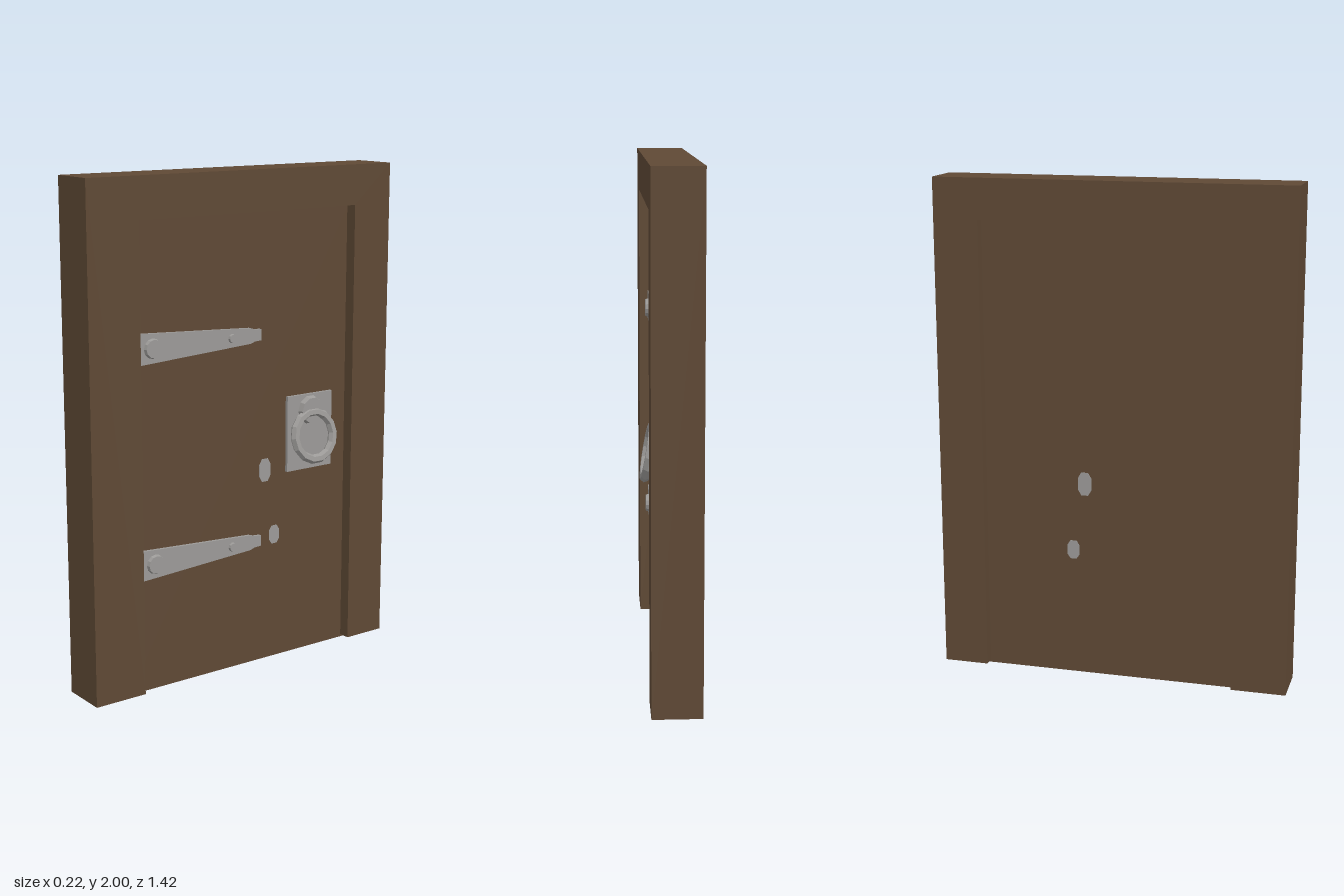
import * as THREE from 'three';

export function createModel() {
  const door = new THREE.Group();
  door.name = 'door';
  const wood = new THREE.MeshStandardMaterial({ name: 'brown wood', color: 0x5f4935, flatShading: true });
  const metal = new THREE.MeshStandardMaterial({ name: 'grey metal', color: 0x9c9a98, flatShading: true });
  const FACE = 0.032, BACK = -0.065;

  const add = (name, geometry, material, x = 0, y = 0, z = 0, parent = door) => {
    const mesh = new THREE.Mesh(geometry, material);
    mesh.name = name;
    mesh.position.set(x, y, z);
    parent.add(mesh);
    return mesh;
  };

  // Outline in (z, y), extruded along x from 0 to depth
  const extrudeX = (points, depth) => {
    const shape = new THREE.Shape(points.map(([z, y]) => new THREE.Vector2(-z, y)));
    return new THREE.ExtrudeGeometry(shape, { depth, bevelEnabled: false }).rotateY(Math.PI / 2);
  };

  // Disc facing +x with a slightly smaller front rim
  const stud = (r, h, sides) =>
    new THREE.CylinderGeometry(r * 0.88, r, h, sides).rotateZ(-Math.PI / 2);

  // Surround, open at the bottom
  add('frame', extrudeX([
    [0.71, 0.01], [0.71, 2], [-0.71, 2], [-0.71, 0.01],
    [-0.53, 0.01], [-0.53, 1.84], [0.49, 1.84], [0.49, 0.01],
  ], 0.19), wood, -0.11);

  // Door leaf, tucked into the frame
  add('leaf', new THREE.BoxGeometry(FACE - BACK, 1.86, 1.08), wood, (FACE + BACK) / 2, 0.93, -0.01);

  // Tapered strap hinges with bolts
  for (const y of [0.515, 1.357]) {
    const hinge = new THREE.Group();
    hinge.name = 'hinge';
    hinge.position.set(FACE - 0.002, y, 0);
    door.add(hinge);
    add('strap', extrudeX([
      [0.49, -0.061], [0.49, 0.061], [-0.04, 0.031], [-0.06, 0.024], [-0.092, 0.022],
      [-0.092, -0.022], [-0.06, -0.024], [-0.04, -0.031],
    ], 0.015), metal, 0, 0, 0, hinge);
    add('largeBolt', stud(0.04, 0.016, 12), metal, 0.02, 0, 0.415, hinge);
    add('smallBolt', stud(0.019, 0.012, 10), metal, 0.019, 0, 0.05, hinge);
  }

  // Handle: back plate, boss and a tilted pull ring
  const handle = new THREE.Group();
  handle.name = 'handle';
  handle.position.set(FACE, 0, -0.338);
  door.add(handle);
  add('plate', new THREE.BoxGeometry(0.014, 0.31, 0.227), metal, 0.006, 0.935, 0, handle);
  add('boss', stud(0.06, 0.024, 10), metal, 0.022, 1.025, 0, handle);
  const ring = add('ring', new THREE.TorusGeometry(0.097, 0.019, 6, 14).rotateY(Math.PI / 2),
    metal, 0.042, 0.922, 0, handle);
  ring.rotation.z = 0.17;

  // Small elongated metal inlays, showing on both sides of the leaf
  for (const [y, z, w, h] of [[0.802, -0.12, 0.028, 0.047], [0.525, -0.168, 0.025, 0.038]]) {
    const outline = [[-w, -0.5 * h], [-0.5 * w, -h], [0.5 * w, -h], [w, -0.5 * h],
      [w, 0.5 * h], [0.5 * w, h], [-0.5 * w, h], [-w, 0.5 * h]].reverse();
    for (const x of [FACE - 0.002, BACK - 0.002]) add('inlay', extrudeX(outline, 0.004), metal, x, y, z);
  }

  return door;
}
